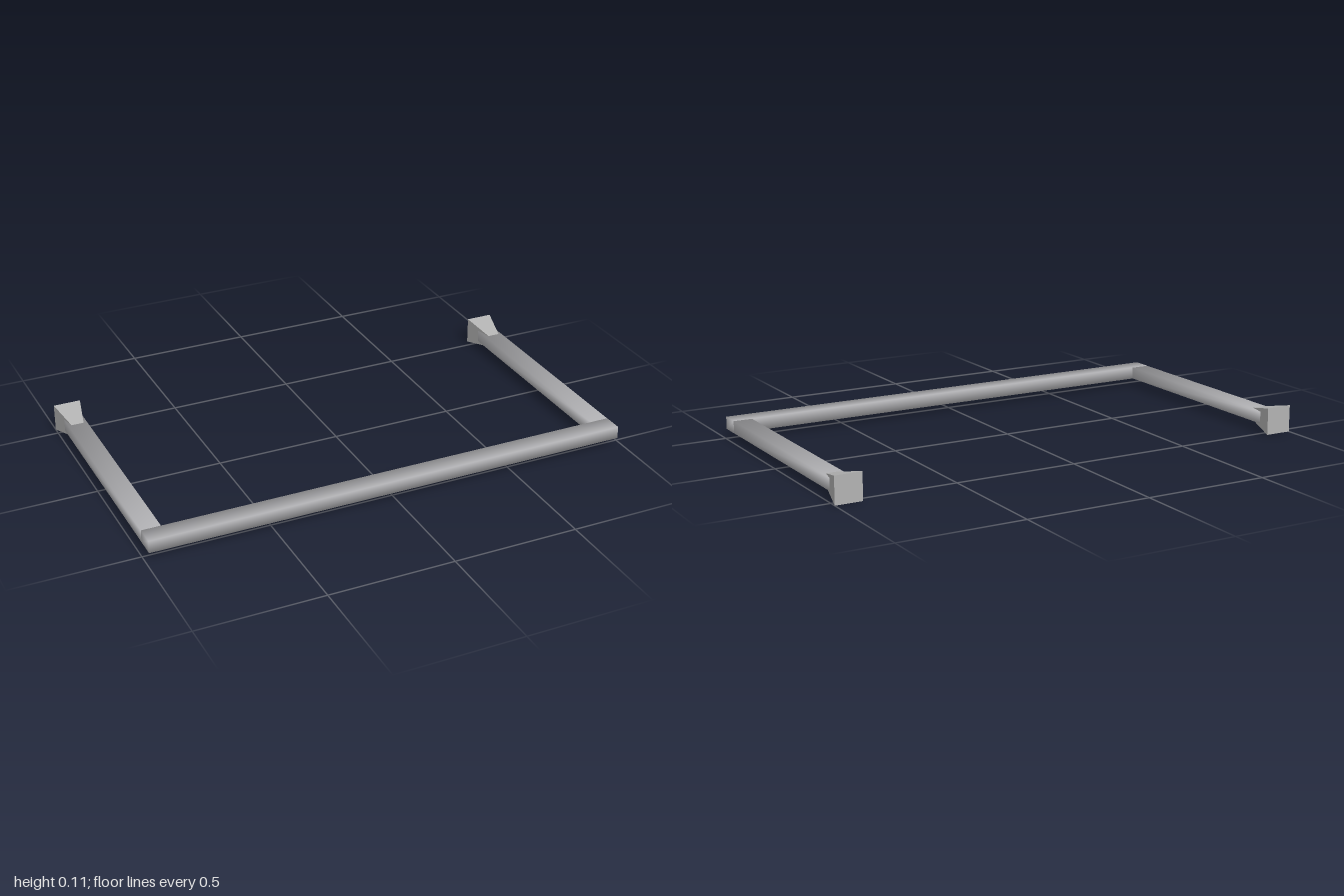
import * as THREE from 'three';

// Box whose corner normals point diagonally outward, giving a rounded soft shading
function softBox(w, h, d) {
  const g = new THREE.BoxGeometry(w, h, d);
  const p = g.attributes.position, n = g.attributes.normal;
  const v = new THREE.Vector3();
  for (let i = 0; i < p.count; i++) {
    v.set(Math.sign(p.getX(i)), Math.sign(p.getY(i)), Math.sign(p.getZ(i))).normalize();
    n.setXYZ(i, v.x, v.y, v.z);
  }
  return g;
}

// Square foot that narrows toward +z
function flaredFoot(back, front, depth) {
  const g = new THREE.BoxGeometry(back, back, depth);
  const p = g.attributes.position;
  for (let i = 0; i < p.count; i++) {
    if (p.getZ(i) > 0) p.setXY(i, p.getX(i) * front / back, p.getY(i) * front / back);
  }
  g.computeVertexNormals();
  return g;
}

export function createModel() {
  const model = new THREE.Group();
  model.name = 'wallRail';
  const barMetal = new THREE.MeshStandardMaterial({ color: 0xb6b6b9 });
  barMetal.name = 'brushed steel';
  const footMetal = new THREE.MeshStandardMaterial({ color: 0xb2b2b2 });
  footMetal.name = 'grey steel';

  const add = (name, geometry, material, x, y, z) => {
    const mesh = new THREE.Mesh(geometry, material);
    mesh.name = name;
    mesh.position.set(x, y, z);
    model.add(mesh);
  };

  const midY = 0.055;

  // Long front bar
  add('frontBar', softBox(1.966, 0.05, 0.08), barMetal, 0, midY, 0.492);

  // Side arms with mounting feet at the back
  for (const [side, s] of [['left', 1], ['right', -1]]) {
    add(side + 'Arm', softBox(0.077, 0.049, 0.92), barMetal, s * 0.9445, midY, -0.008);
    add(side + 'Foot', flaredFoot(0.109, 0.05, 0.133), footMetal, s * 0.9455, midY, -0.4655);
  }
  return model;
}
